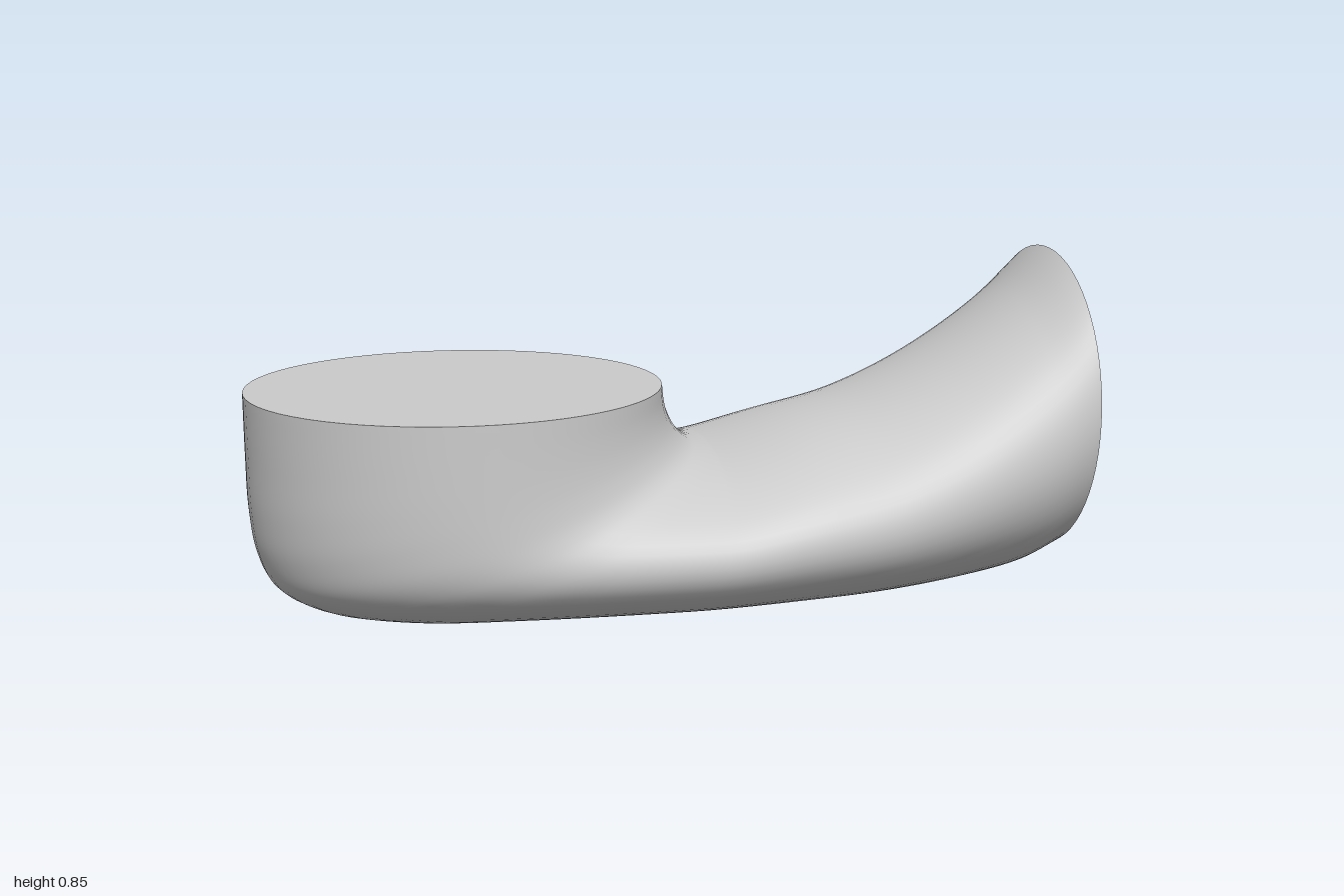
import * as THREE from 'three';

// Each station of the bend: inner point (x, y), outer point (x, y), half width in z
const STATIONS = [
  [0.00, 0.553, -1.00, 0.553, 0.50],
  [0.005, 0.51, -1.00, 0.40, 0.50],
  [0.015, 0.475, -0.998, 0.28, 0.50],
  [0.03, 0.445, -0.985, 0.18, 0.50],
  [0.05, 0.42, -0.95, 0.10, 0.50],
  [0.07, 0.405, -0.87, 0.05, 0.50],
  [0.09, 0.398, -0.70, 0.017, 0.50],
  [0.105, 0.395, -0.45, 0.006, 0.50],
  [0.12, 0.395, 0.00, 0.002, 0.50],
  [0.30, 0.445, 0.28, 0.004, 0.49],
  [0.50, 0.50, 0.50, 0.01, 0.473],
  [0.70, 0.60, 0.70, 0.023, 0.445],
  [0.89, 0.74, 0.89, 0.05, 0.41],
  [1.00, 0.855, 1.00, 0.091, 0.382],
];
const SEGMENTS = 64;
const RINGS = 78;

// Tube wall lofted through tilted elliptical sections
function wallGeometry() {
  const inner = new THREE.CatmullRomCurve3(STATIONS.map((s) => new THREE.Vector3(s[0], s[1], s[4])));
  const outer = new THREE.CatmullRomCurve3(STATIONS.map((s) => new THREE.Vector3(s[2], s[3], s[4])));
  const positions = [];
  const index = [];
  for (let i = 0; i <= RINGS; i++) {
    const p = inner.getPoint(i / RINGS);
    const q = outer.getPoint(i / RINGS);
    for (let j = 0; j < SEGMENTS; j++) {
      const a = (j / SEGMENTS) * Math.PI * 2;
      const k = (1 + Math.cos(a)) / 2;
      positions.push(q.x + (p.x - q.x) * k, q.y + (p.y - q.y) * k, p.z * Math.sin(a));
      if (i === RINGS) continue;
      const n = (j + 1) % SEGMENTS;
      const r0 = i * SEGMENTS;
      const r1 = r0 + SEGMENTS;
      index.push(r0 + j, r0 + n, r1 + j, r0 + n, r1 + n, r1 + j);
    }
  }
  const geometry = new THREE.BufferGeometry();
  geometry.setAttribute('position', new THREE.Float32BufferAttribute(positions, 3));
  geometry.setIndex(index);
  geometry.computeVertexNormals();
  return geometry;
}

export function createModel() {
  const group = new THREE.Group();
  group.name = 'pipeElbow';
  const material = new THREE.MeshStandardMaterial({ color: 0xcccccc });
  const add = (name, geometry) => {
    const mesh = new THREE.Mesh(geometry, material);
    mesh.name = name;
    group.add(mesh);
    return mesh;
  };

  add('bentTubeWall', wallGeometry());

  // Flat round ends
  const top = add('topCap', new THREE.CircleGeometry(0.5, SEGMENTS));
  top.rotation.x = -Math.PI / 2;
  top.position.set(-0.5, 0.553, 0);

  const end = add('endCap', new THREE.CircleGeometry(0.382, SEGMENTS));
  end.rotation.y = Math.PI / 2;
  end.position.set(1, 0.473, 0);

  return group;
}
